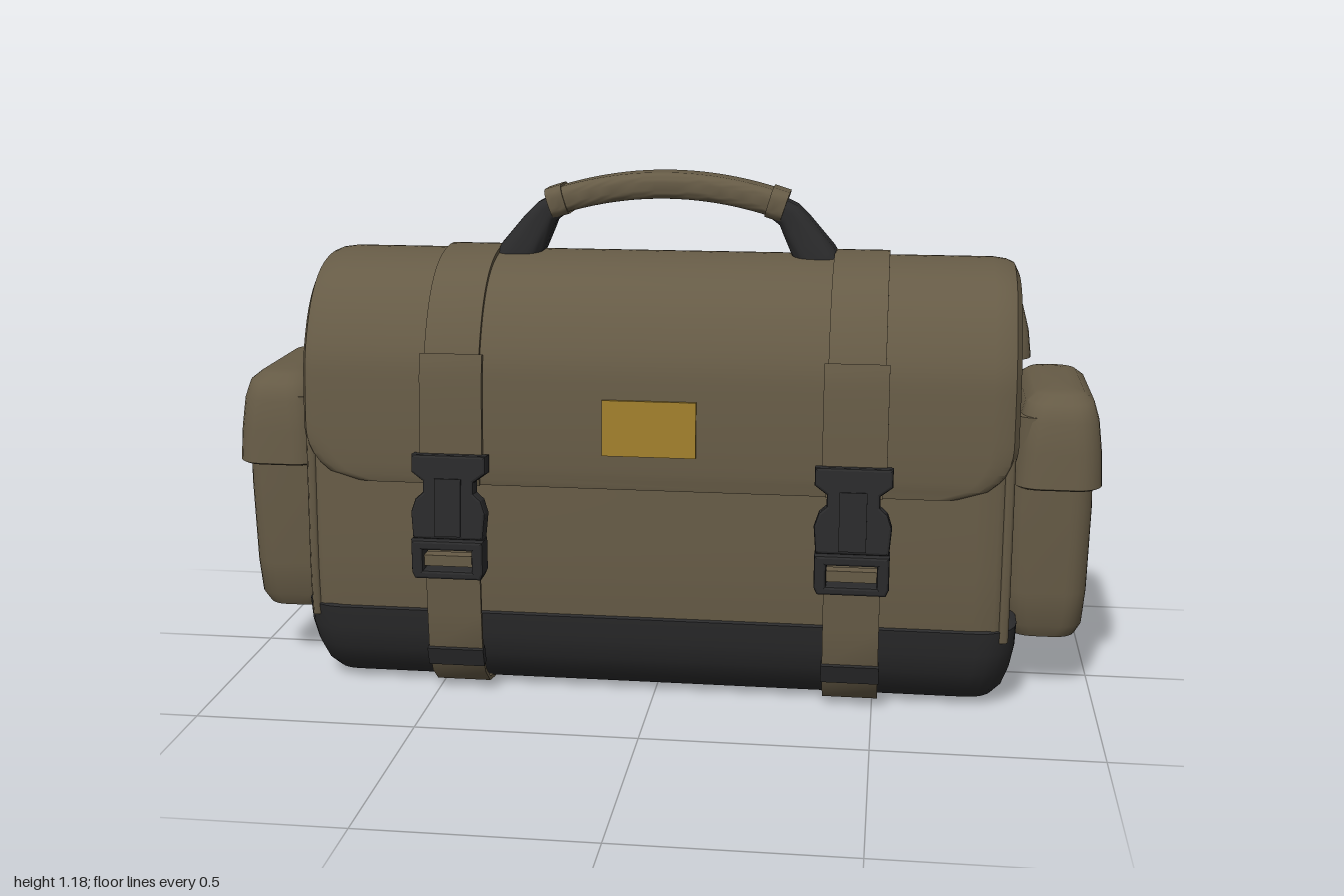
import * as THREE from 'three';
import { toCreasedNormals } from 'three/addons/utils/BufferGeometryUtils.js';

const V2 = (a) => a.map(([x, y]) => new THREE.Vector2(x, y));

// Closed loft through rings of Vector3, capped at both ends
function loft(rings, crease = 0.7) {
  const n = rings[0].length, pos = [], idx = [];
  rings.forEach((r) => r.forEach((p) => pos.push(p.x, p.y, p.z)));
  for (let i = 0; i < rings.length - 1; i++) for (let j = 0; j < n; j++) {
    const a = i * n + j, b = i * n + (j + 1) % n;
    idx.push(a, b, a + n, b, b + n, a + n);
  }
  [0, rings.length - 1].forEach((k) => {
    const c = rings[k].reduce((s, p) => s.add(p), new THREE.Vector3()).divideScalar(n);
    const ci = pos.length / 3;
    pos.push(c.x, c.y, c.z);
    for (let j = 0; j < n; j++) {
      const a = k * n + j, b = k * n + (j + 1) % n;
      if (k) idx.push(a, b, ci); else idx.push(b, a, ci);
    }
  });
  // Turn the faces outward if the volume comes out negative
  const P = (i) => new THREE.Vector3().fromArray(pos, i * 3);
  let vol = 0;
  for (let i = 0; i < idx.length; i += 3) vol += P(idx[i]).dot(P(idx[i + 1]).cross(P(idx[i + 2])));
  if (vol < 0) idx.reverse();
  const g = new THREE.BufferGeometry();
  g.setAttribute('position', new THREE.Float32BufferAttribute(pos, 3));
  g.setIndex(idx);
  return toCreasedNormals(g, crease);
}

// Horizontal rounded rectangle
function roundRect(cx, y, cz, hx, hz, r) {
  const out = [];
  [[1, 1], [-1, 1], [-1, -1], [1, -1]].forEach(([sx, sz], q) => {
    for (let i = 0; i <= 5; i++) {
      const a = (q + i / 5) * Math.PI / 2;
      out.push(new THREE.Vector3(cx + sx * (hx - r) + r * Math.cos(a), y, cz + sz * (hz - r) + r * Math.sin(a)));
    }
  });
  return out;
}
// Levels of [y, halfX, halfZ, radius] stacked into a soft block
const stack = (cx, cz, levels) => loft(levels.map(([y, hx, hz, r]) => roundRect(cx, y, cz, hx, hz, r)));

// Shift a 2D path sideways
function offset(pts, d) {
  return pts.map((p, i) => {
    const t = pts[Math.min(i + 1, pts.length - 1)].clone().sub(pts[Math.max(i - 1, 0)]).normalize();
    return new THREE.Vector2(p.x + t.y * d, p.y - t.x * d);
  });
}
// Webbing: a 2D path with thickness, extruded to a width about its centre
function strip(pts, thick, width) {
  const shape = new THREE.Shape([...offset(pts, thick / 2), ...offset(pts, -thick / 2).reverse()]);
  const g = new THREE.ExtrudeGeometry(shape, { depth: width, bevelEnabled: false });
  g.translate(0, 0, -width / 2);
  return toCreasedNormals(g, 0.6);
}

export function createModel() {
  const mat = (name, color) => {
    const m = new THREE.MeshStandardMaterial({ color });
    m.name = name;
    return m;
  };
  const olive = mat('oliveCanvas', 0x665b46);
  const black = mat('blackRubber', 0x2a2a2b);
  const gold = mat('goldPatch', 0xa07f2c);
  const bag = new THREE.Group();
  bag.name = 'bag';
  const add = (name, geo, material, x = 0, y = 0, z = 0, parent = bag) => {
    const m = new THREE.Mesh(geo, material);
    m.name = name;
    m.position.set(x, y, z);
    parent.add(m);
    return m;
  };

  // Arched body, profile given as (z, y) from front to back
  const profile = new THREE.SplineCurve(V2([[0.278, 0.17], [0.282, 0.3], [0.274, 0.5], [0.262, 0.7], [0.243, 0.8],
    [0.185, 0.9], [0.1, 0.96], [-0.02, 0.98], [-0.13, 0.955], [-0.21, 0.9], [-0.27, 0.8], [-0.3, 0.65],
    [-0.315, 0.4], [-0.315, 0.17]])).getSpacedPoints(100);
  const bodyRing = (x, s) => profile.map((p) => new THREE.Vector3(x, 0.17 + (p.y - 0.17) * s, -0.015 + (p.x + 0.015) * s));
  add('body', loft([[-0.79, 0.9], [-0.785, 0.94], [-0.765, 0.975], [-0.72, 1], [0.72, 1], [0.765, 0.975], [0.785, 0.94], [0.79, 0.9]]
    .map(([x, s]) => bodyRing(x, s))), olive);

  // Rubber base
  add('base', stack(0, -0.015, [[0.004, 0.755, 0.185, 0.05], [0.012, 0.775, 0.215, 0.06], [0.04, 0.795, 0.25, 0.08],
    [0.09, 0.81, 0.28, 0.09], [0.14, 0.818, 0.293, 0.09], [0.195, 0.82, 0.3, 0.09], [0.2, 0.812, 0.293, 0.09]]), black);

  // Flap over the top with rounded front corners
  const flapPath = profile.filter((p) => (p.x > 0 ? p.y >= 0.49 : p.y >= 0.69));
  const layers = [-0.04, -0.025, 0, 0.008, 0.012].map((d) => offset(flapPath, d));
  const flapRings = flapPath.map((p, i) => {
    const R = 0.12, d = p.x > 0 ? Math.min(R, p.y - flapPath[0].y) : R;
    const hw = 0.805 - (R - Math.sqrt(R * R - (R - d) ** 2));
    const half = [[hw - 0.01, 0], [hw, 1], [hw - 0.012, 2], [hw - 0.03, 3], [hw - 0.06, 4]];
    const pt = ([x, k], s) => new THREE.Vector3(x * s, layers[k][i].y, layers[k][i].x);
    return [...half.map((h) => pt(h, -1)), ...half.slice().reverse().map((h) => pt(h, 1))];
  });
  add('flap', loft(flapRings), olive);

  // Gold patch on the flap
  const patch = add('patch', new THREE.BoxGeometry(0.21, 0.125, 0.009), gold, -0.005, 0.64, 0.284);
  patch.rotation.x = -0.06;

  // Webbing loop from the buckle, under the bag, up the back and over the top
  const over = offset(profile, 0.017).filter((p) => (p.x > 0 ? p.y > 0.5 : p.y > 0.82)).reverse();
  const loop = [...V2([[0.308, 0.34], [0.303, 0.2], [0.298, 0.11], [0.272, 0.05], [0.23, 0.015], [0.18, 0.005],
    [-0.2, 0.005], [-0.26, 0.015], [-0.3, 0.05], [-0.322, 0.11], [-0.345, 0.21], [-0.35, 0.3],
    [-0.345, 0.5], [-0.33, 0.77], [-0.3, 0.81]]), ...over];
  // Buckle outline with side notches
  const catchShape = new THREE.Shape(V2([[-0.08, -0.09], [0.08, -0.09], [0.085, -0.03], [0.075, 0.0], [0.058, 0.015],
    [0.058, 0.04], [0.085, 0.06], [0.085, 0.1], [-0.085, 0.1], [-0.085, 0.06], [-0.058, 0.04], [-0.058, 0.015],
    [-0.075, 0.0], [-0.085, -0.03]]));
  const frameShape = new THREE.Shape(V2([[-0.075, -0.045], [0.075, -0.045], [0.082, -0.03], [0.082, 0.045], [-0.082, 0.045], [-0.082, -0.03]]));
  frameShape.holes.push(new THREE.Path(V2([[-0.055, -0.025], [-0.055, 0.022], [0.055, 0.022], [0.055, -0.025]])));
  const plate = (shape, depth) => new THREE.ExtrudeGeometry(shape,
    { depth, bevelThickness: 0.008, bevelSize: 0.006, bevelOffset: -0.006, bevelSegments: 2 }).translate(0, 0, -depth / 2);

  for (const s of [-1, 1]) {
    const x = 0.45 * s;
    add('strap', strip(loop, 0.01, 0.125), olive, x).rotation.y = -Math.PI / 2;
    add('strapOverlay', strip(offset(profile, 0.024).filter((p) => p.x > 0 && p.y > 0.52 && p.y < 0.8), 0.012, 0.142), olive, x)
      .rotation.y = -Math.PI / 2;
    add('frontStrapKeeper', new THREE.BoxGeometry(0.13, 0.045, 0.022), black, x, 0.095, 0.294).rotation.x = 0.3;
    add('backStrapKeeper', new THREE.BoxGeometry(0.13, 0.045, 0.022), black, x, 0.095, -0.317).rotation.x = -0.3;

    const buckle = new THREE.Group();
    buckle.name = 'buckle';
    buckle.position.set(x, 0, 0);
    bag.add(buckle);
    add('buckleCatch', plate(catchShape, 0.03), black, 0, 0.475, 0.318, buckle).rotation.x = -0.13;
    add('buckleRib', new THREE.BoxGeometry(0.06, 0.13, 0.02), black, 0, 0.46, 0.338, buckle).rotation.x = -0.13;
    add('buckleFrame', plate(frameShape, 0.042), black, 0, 0.343, 0.335, buckle);
    add('buckleWebbing', new THREE.BoxGeometry(0.112, 0.025, 0.03), olive, 0, 0.338, 0.335, buckle);

    // Side lid and piping on the end of the body
    add('sideLid', stack(0.74 * s, -0.05, [[0.785, 0.07, 0.19, 0.04], [0.79, 0.09, 0.205, 0.05], [0.85, 0.083, 0.2, 0.05],
      [0.9, 0.07, 0.18, 0.05], [0.925, 0.055, 0.155, 0.04], [0.935, 0.03, 0.12, 0.025]]), olive);
    const pipe = bodyRing(0.787 * s, 0.94).filter((p, i) => i % 4 === 0);
    add('piping', new THREE.TubeGeometry(new THREE.CatmullRomCurve3(pipe), 80, 0.012, 6), olive);
    add('sidePanel', stack(0.76 * s, -0.045, [[0.18, 0.045, 0.22, 0.03], [0.5, 0.045, 0.22, 0.03], [0.78, 0.04, 0.19, 0.03]]), olive);

    // Side pocket with its lid
    add('sidePocket', stack(0.885 * s, -0.045, [[0.133, 0.05, 0.15, 0.04], [0.14, 0.075, 0.175, 0.05], [0.17, 0.088, 0.19, 0.05],
      [0.25, 0.094, 0.195, 0.05], [0.45, 0.097, 0.2, 0.05], [0.66, 0.09, 0.2, 0.05]]), olive);
    add('sidePocketLid', stack(0.9 * s, -0.045, [[0.498, 0.09, 0.215, 0.05], [0.503, 0.1, 0.225, 0.06], [0.58, 0.096, 0.218, 0.06],
      [0.65, 0.088, 0.21, 0.06], [0.69, 0.076, 0.195, 0.055], [0.707, 0.055, 0.17, 0.045], [0.712, 0.03, 0.13, 0.025]]), olive);
  }

  // Horizontal webbing bands bowed out across the back and round the corners
  const bandPath = new THREE.SplineCurve(V2([[-0.79, -0.265], [-0.785, -0.295], [-0.72, -0.325], [-0.5, -0.357],
    [-0.35, -0.357], [0, -0.35], [0.35, -0.357], [0.5, -0.357], [0.72, -0.325], [0.785, -0.295], [0.79, -0.265]])).getPoints(50);
  for (const y of [0.54, 0.31]) add('backBand', strip(bandPath, 0.009, 0.118), olive, 0, y).rotation.x = Math.PI / 2;

  // Carry handle: rings swept along a path of [x, y, halfThickness, halfWidth]
  const sweep = (path) => loft(path.map(([x, y, h, w], i) => {
    const a = path[Math.max(i - 1, 0)], b = path[Math.min(i + 1, path.length - 1)];
    const t = new THREE.Vector2(b[0] - a[0], b[1] - a[1]).normalize();
    return roundRect(0, 0, 0, h, w, h * 0.7).map((p) => new THREE.Vector3(x - t.y * p.x, y + t.x * p.x, -0.022 + p.z));
  }));
  const arc = (x) => 1.147 - 0.62 * x * x;
  const span = (a, b, n, h, w) => Array.from({ length: n + 1 }, (_, i) => {
    const x = a + (b - a) * i / n;
    return [x, arc(x), h, w];
  });
  add('handleGrip', sweep(span(-0.25, 0.25, 20, 0.03, 0.052)), olive);
  for (const s of [-1, 1]) {
    add('handleCollar', sweep(span(0.235 * s, 0.272 * s, 3, 0.035, 0.056)), olive);
    add('handleMount', sweep([[0.25, 1.1, 0.026, 0.045], [0.28, 1.082, 0.03, 0.046], [0.3, 1.055, 0.036, 0.05],
      [0.322, 1.02, 0.042, 0.056], [0.345, 0.985, 0.047, 0.064], [0.36, 0.96, 0.047, 0.066]]
      .map(([x, y, h, w]) => [x * s, y, h, w])), black);
  }
  return bag;
}
